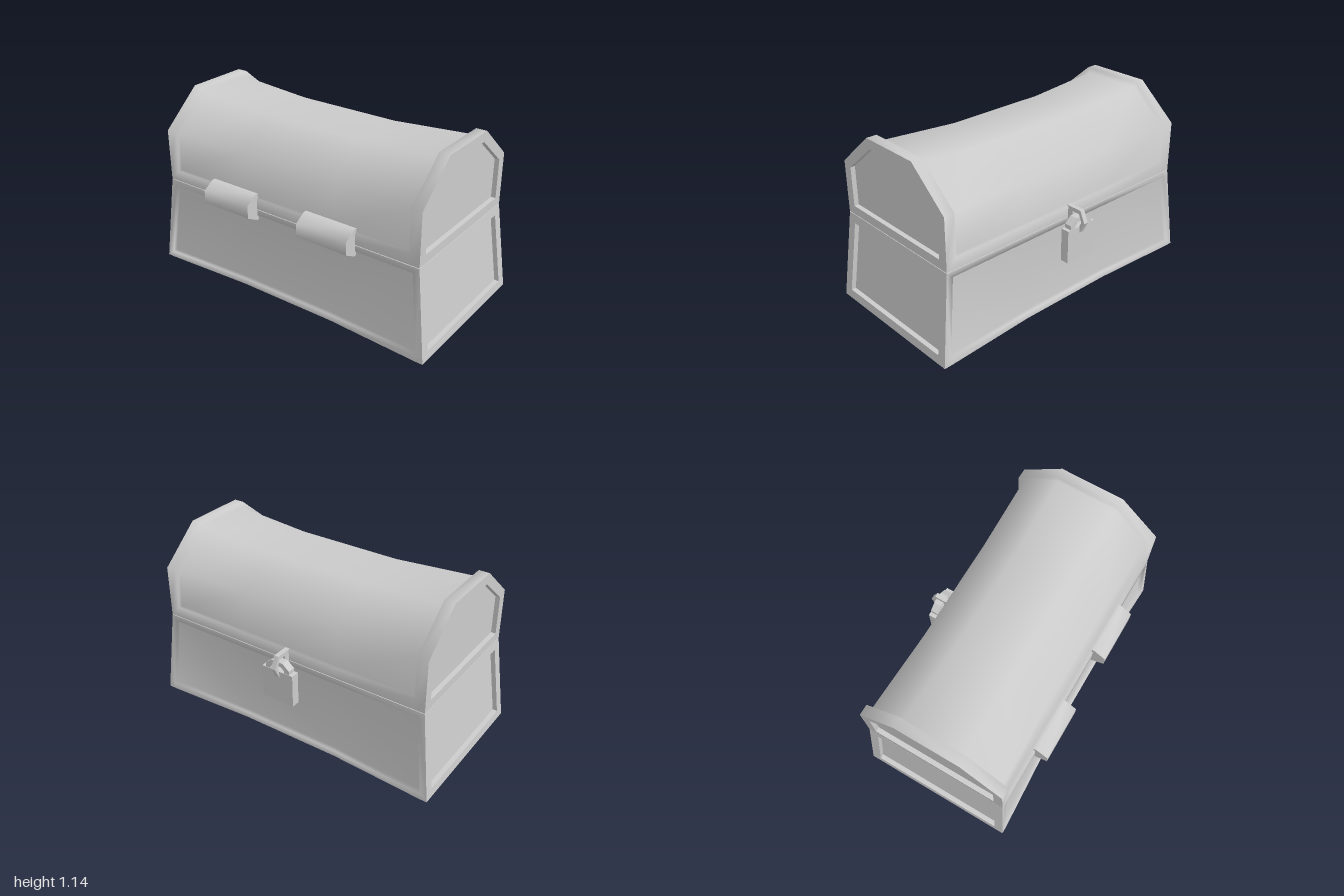
import * as THREE from 'three';
import { mergeVertices, toCreasedNormals } from 'three/addons/utils/BufferGeometryUtils.js';

const SEAM = 0.576, LID_Y = 0.58;
const material = new THREE.MeshStandardMaterial({ color: 0xcccccc });

function part(name, geometry, parent) {
  const mesh = new THREE.Mesh(geometry, material);
  mesh.name = name;
  parent.add(mesh);
  return mesh;
}

function fromPoints(points, index) {
  const g = new THREE.BufferGeometry();
  g.setAttribute('position', new THREE.Float32BufferAttribute(points.flat(), 3));
  g.setIndex(index);
  return g;
}

// Smooth surface over a grid of columns and rows; at(col, row) gives [x, y, z]
function gridSurface(cols, rows, at) {
  const points = [], index = [];
  for (let j = 0; j < rows; j++) {
    for (let i = 0; i < cols; i++) {
      points.push(at(i, j));
      if (i === cols - 1 || j === rows - 1) continue;
      const a = j * cols + i, b = a + 1, c = b + cols, d = a + cols;
      index.push(a, b, c, a, c, d);
    }
  }
  const g = mergeVertices(fromPoints(points, index), 1e-5);
  g.computeVertexNormals();
  return g;
}

// Flat border around a recessed polygon; loops run counter-clockwise from outside
function framedPanel(outer, inner, depth) {
  const n = outer.length, index = [];
  const floor = inner.map(([x, y, z]) => [x - depth, y, z]);
  for (let k = 0; k < 2; k++) {
    for (let i = 0; i < n; i++) {
      const a = k * n + i, b = k * n + (i + 1) % n;
      index.push(a, b, b + n, a, b + n, a + n);
    }
  }
  for (let i = 1; i < n - 1; i++) index.push(2 * n, 2 * n + i, 2 * n + i + 1);
  const g = fromPoints([...outer, ...inner, ...floor], index).toNonIndexed();
  g.computeVertexNormals();
  return g;
}

const shapeOf = pts => new THREE.Shape(pts.map(([x, y]) => new THREE.Vector2(x, y)));

// Profile drawn in (z, y), extruded along x and centred on it
function extrudeX(shape, width) {
  return new THREE.ExtrudeGeometry(shape, { depth: width, bevelEnabled: false })
    .translate(0, 0, -width / 2).rotateY(-Math.PI / 2);
}

function buildBase(chest) {
  const base = new THREE.Group();
  base.name = 'base';
  chest.add(base);
  const halfX = y => 1 - 0.07 * y / SEAM;
  const halfZ = y => 0.503 - 0.033 * y / SEAM;

  // Front and back: frame bowed inward at the foot, with a recessed panel
  const cols = [-1, -0.955, -0.955, -0.34, 0.34, 0.955, 0.955, 1];
  const rows = [0, 0.04, 0.04, 0.54, 0.54, SEAM];
  const wall = gridSurface(cols.length, rows.length, (i, j) => {
    const y = rows[j], middle = i === 3 || i === 4;
    const bow = middle ? 0.033 * (1 - y / SEAM) : 0;
    const recess = i > 1 && i < 6 && j > 1 && j < 4 ? 0.03 : 0;
    return [cols[i] * halfX(y), y, halfZ(y) - bow - recess];
  });
  part('baseFront', wall, base);
  part('baseBack', wall, base).scale.z = -1;

  // Tapered ends
  const loop = (y0, y1, inset) => [[1, y0], [-1, y0], [-1, y1], [1, y1]]
    .map(([s, y]) => [halfX(y), y, s * (halfZ(y) - inset)]);
  const end = framedPanel(loop(0, SEAM, 0), loop(0.055, 0.52, 0.06), 0.03);
  part('baseLeftEnd', end, base);
  part('baseRightEnd', end, base).scale.x = -1;

  // Floor follows the bowed lower edges
  const floor = shapeOf([[-1, -0.503], [-0.34, -0.47], [0.34, -0.47], [1, -0.503],
    [1, 0.503], [0.34, 0.47], [-0.34, 0.47], [-1, 0.503]]);
  part('floor', new THREE.ShapeGeometry(floor).rotateX(Math.PI / 2), base);
  part('baseTop', new THREE.PlaneGeometry(1.86, 0.94).rotateX(-Math.PI / 2), base)
    .position.y = SEAM;
}

function buildLid(chest) {
  const lid = new THREE.Group();
  lid.name = 'lid';
  chest.add(lid);

  // Half profile: z, y, inward direction of the recess, sag at mid-length
  const half = [[0.47, LID_Y, 0, 0, 0], [0.47, 0.65, 0, 0, 0], [0.47, 0.65, 0.75, 0, 0],
    [0.47, 0.915, 1, 0.42, 0.015], [0.208, 1.14, 0.36, 1, 0.035]];
  const profile = [...half,
    ...half.slice().reverse().map(([z, y, dz, dy, sag]) => [-z, y, -dz, dy, sag])];
  const cols = [-0.93, -0.862, -0.862, -0.34, 0.34, 0.862, 0.862, 0.93];
  part('lidShell', gridSurface(cols.length, profile.length, (i, j) => {
    const [z, y, dz, dy, sag] = profile[j];
    const middle = i === 3 || i === 4;
    const d = i > 1 && i < 6 ? 0.035 + (middle ? sag : 0) : 0;
    return [cols[i], y - dy * d, z - dz * d];
  }), lid);

  // Arched ends with recessed panels
  const arch = (z, y0, y1, zTop, yTop) => [[z, y0], [-z, y0], [-z, y1], [-zTop, yTop],
    [zTop, yTop], [z, y1]].map(([pz, py]) => [0.93, py, pz]);
  const end = framedPanel(arch(0.47, LID_Y, 0.915, 0.208, 1.14),
    arch(0.41, 0.637, 0.89, 0.183, 1.08), 0.03);
  part('lidLeftEnd', end, lid);
  part('lidRightEnd', end, lid).scale.x = -1;
  part('lidUnderside', new THREE.PlaneGeometry(1.86, 0.94).rotateX(Math.PI / 2), lid)
    .position.y = LID_Y;
}

function buildHinges(chest) {
  const profile = shapeOf([[0.46, 0.51], [0.478, 0.51], [0.555, 0.553], [0.555, 0.637],
    [0.48, 0.682], [0.46, 0.682]]);
  const hinge = toCreasedNormals(extrudeX(profile, 0.35), 1.15);
  for (const [name, x] of [['rightHinge', -0.377], ['leftHinge', 0.34]]) {
    part(name, hinge, chest).position.x = x;
  }
}

function buildLock(chest) {
  const lock = new THREE.Group();
  lock.name = 'lock';
  chest.add(lock);

  // Pointed staple with an opening
  const staple = shapeOf([[-0.46, 0.51], [-0.568, 0.51], [-0.603, 0.58], [-0.568, 0.655],
    [-0.46, 0.655]]);
  staple.holes.push(shapeOf([[-0.505, 0.535], [-0.505, 0.63], [-0.557, 0.63],
    [-0.578, 0.58], [-0.557, 0.535]]));
  part('staple', extrudeX(staple, 0.03), lock);

  // Padlock body and angular shackle through the staple
  part('padlockBody', new THREE.BoxGeometry(0.22, 0.215, 0.055), lock)
    .position.set(0, 0.4425, -0.539);
  const shackle = shapeOf([[-0.085, 0.545], [-0.05, 0.545], [-0.05, 0.565], [-0.025, 0.585],
    [0.025, 0.585], [0.05, 0.565], [0.05, 0.545], [0.085, 0.545], [0.085, 0.575],
    [0.04, 0.613], [-0.04, 0.613], [-0.085, 0.575]]);
  part('shackle', new THREE.ExtrudeGeometry(shackle, { depth: 0.05, bevelEnabled: false }), lock)
    .position.z = -0.564;
}

export function createModel() {
  const model = new THREE.Group();
  model.name = 'chest';
  const chest = new THREE.Group();
  chest.name = 'chestParts';
  chest.position.z = 0.025;
  model.add(chest);
  buildBase(chest);
  buildLid(chest);
  buildHinges(chest);
  buildLock(chest);
  return model;
}
